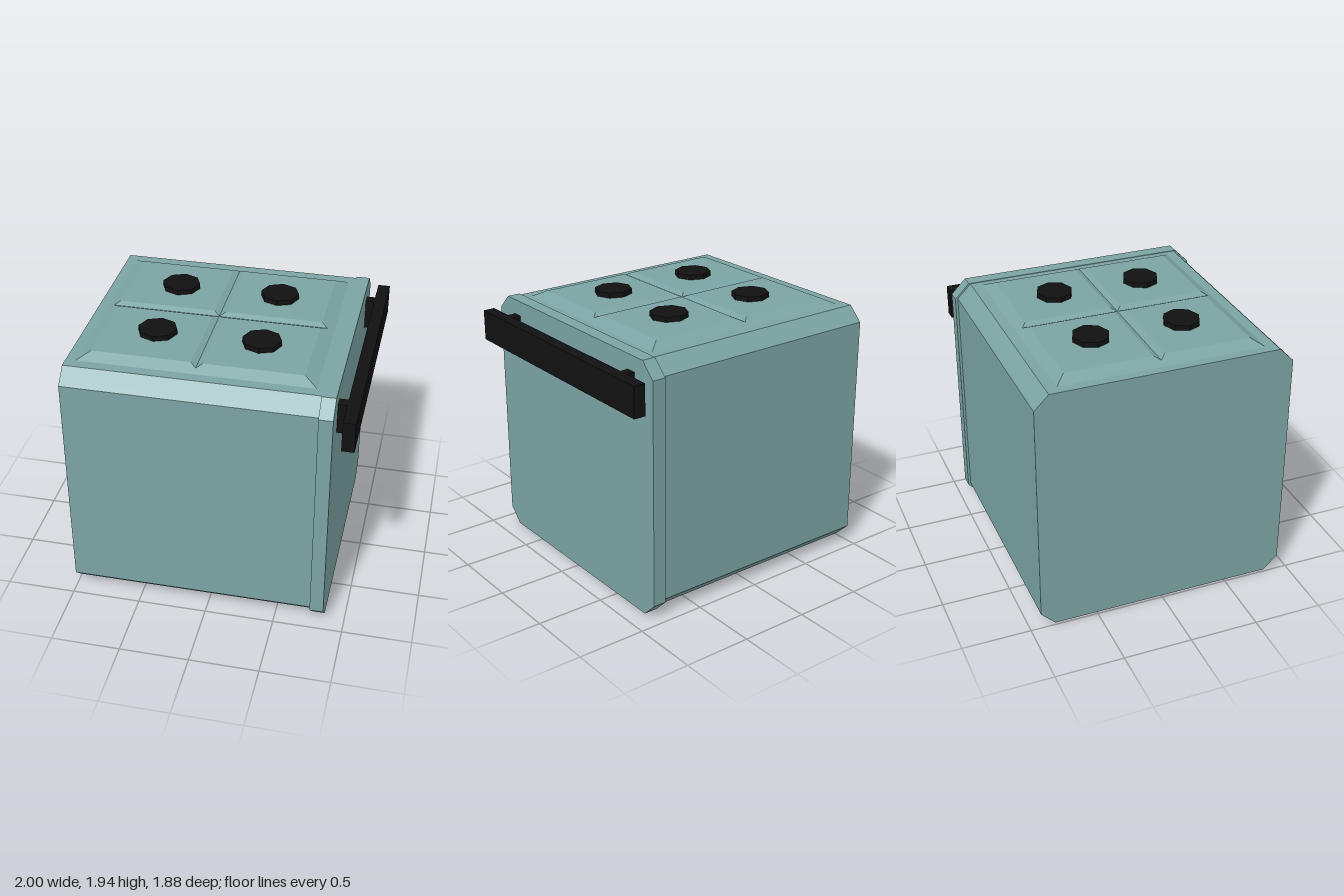
import * as THREE from 'three';

const enamel = new THREE.MeshStandardMaterial({ color: 0x7ba3a3, flatShading: true });
const black = new THREE.MeshStandardMaterial({ color: 0x111111, flatShading: true });

function add(group, name, geometry, material, x = 0, y = 0, z = 0) {
  const mesh = new THREE.Mesh(geometry, material);
  mesh.name = name;
  mesh.position.set(x, y, z);
  group.add(mesh);
  return mesh;
}

// Block along x whose long top and bottom edges are chamfered
function chamferedBlock(x0, x1, y0, y1, halfZ, c) {
  const inner = halfZ - c;
  const shape = new THREE.Shape([
    [-inner, y0], [inner, y0], [halfZ, y0 + c], [halfZ, y1 - c],
    [inner, y1], [-inner, y1], [-halfZ, y1 - c], [-halfZ, y0 + c],
  ].map(([u, v]) => new THREE.Vector2(u, v)));
  return new THREE.ExtrudeGeometry(shape, { depth: x1 - x0, bevelEnabled: false })
    .rotateY(Math.PI / 2).translate(x0, 0, 0);
}

// Raised plate with sloping rim and two crossing V grooves
function hobGeometry() {
  const xs = [-0.93, -0.845, -0.15, -0.11, -0.07, 0.62, 0.71];
  const zs = [-0.742, -0.665, -0.04, 0, 0.04, 0.665, 0.742];
  const base = 1.868, top = 1.911, depth = 0.02, mid = 3;
  const slide = depth / (top - base); // groove ends run out onto the rim slope
  const positions = [], index = [];
  for (let i = 0; i < 7; i++) for (let j = 0; j < 7; j++) {
    let x = xs[i], z = zs[j], y = top;
    if (i % 6 === 0 || j % 6 === 0) y = base;
    else if (i === mid || j === mid) {
      y = top - depth;
      if (i === 1) x += (xs[0] - x) * slide;
      if (i === 5) x += (xs[6] - x) * slide;
      if (j === 1) z += (zs[0] - z) * slide;
      if (j === 5) z += (zs[6] - z) * slide;
    }
    positions.push(x, y, z);
  }
  for (let i = 0; i < 6; i++) for (let j = 0; j < 6; j++) {
    const a = i * 7 + j, b = a + 1, c = a + 8, d = a + 7;
    // diagonals radiate from the crossing so mitres stay crisp
    if ((i < mid) === (j < mid)) index.push(a, b, c, a, c, d);
    else index.push(a, b, d, b, c, d);
  }
  const g = new THREE.BufferGeometry();
  g.setAttribute('position', new THREE.Float32BufferAttribute(positions, 3));
  g.setIndex(index);
  const flat = g.toNonIndexed();
  flat.computeVertexNormals();
  return flat;
}

export function createModel() {
  const stove = new THREE.Group();
  stove.name = 'stove';

  add(stove, 'body', chamferedBlock(-1, 0.755, 0.02, 1.868, 0.922, 0.103), enamel);
  add(stove, 'door', chamferedBlock(0.755, 0.853, 0.003, 1.872, 0.941, 0.108), enamel);
  add(stove, 'hob', hobGeometry(), enamel);

  // Four octagonal burners
  for (const x of [-0.467, 0.265]) for (const z of [-0.335, 0.331]) {
    const burner = add(stove, 'burner', new THREE.CylinderGeometry(1, 1, 0.05, 8), black, x, 1.923, z);
    burner.scale.set(0.138, 1, 0.131);
  }

  // Door handle on two brackets
  const handle = new THREE.Group();
  handle.name = 'doorHandle';
  add(handle, 'bar', new THREE.BoxGeometry(0.087, 0.224, 1.88), black, 0.9565, 1.652, 0);
  for (const z of [-0.705, 0.703]) {
    add(handle, 'bracket', new THREE.BoxGeometry(0.07, 0.224, 0.072), black, 0.88, 1.652, z);
  }
  stove.add(handle);
  return stove;
}
